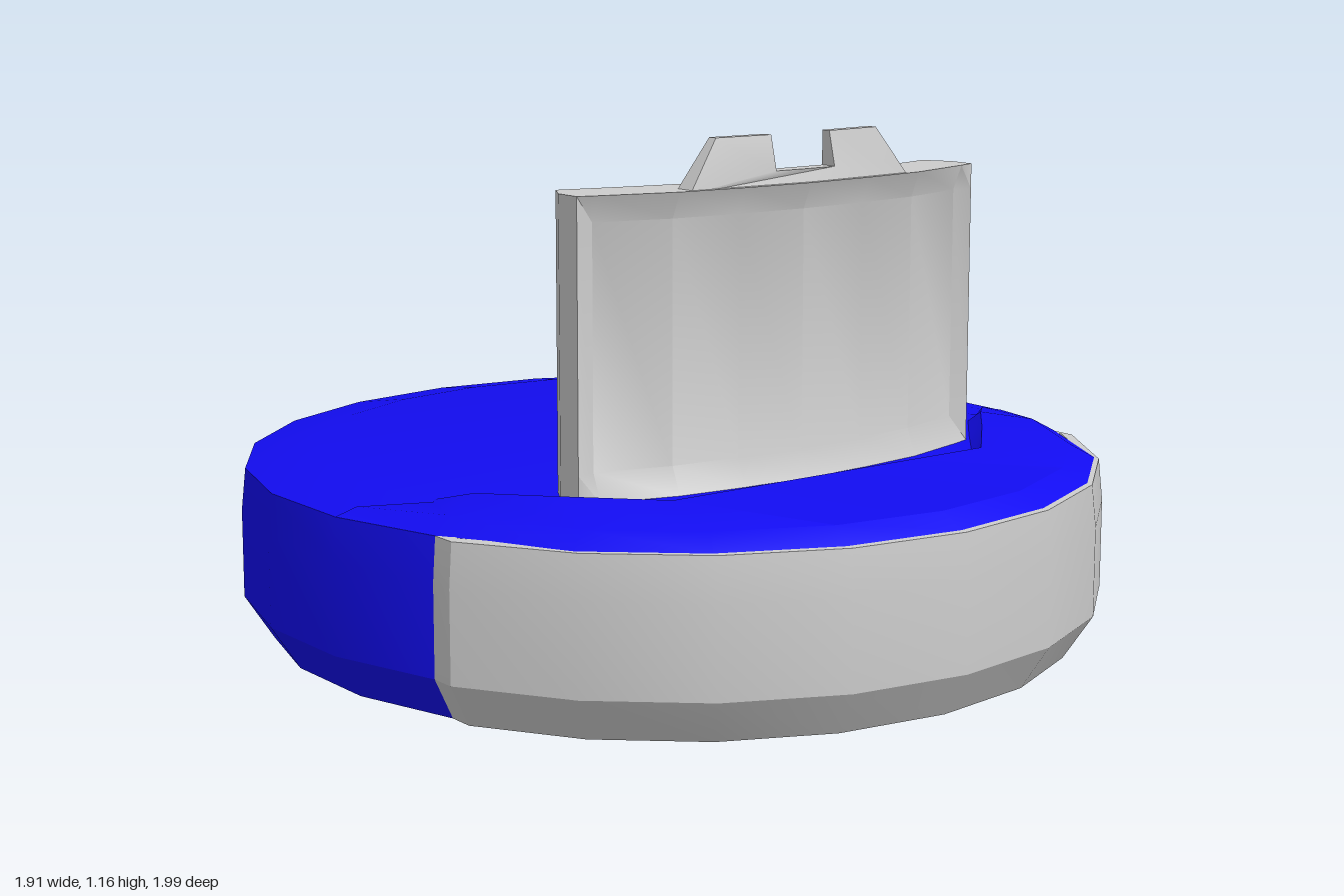
import * as THREE from 'three';
import { toCreasedNormals } from 'three/addons/utils/BufferGeometryUtils.js';

const SIDES = 22, CENTRE = -0.035, CREASE = 0.42;
const STEP = (Math.PI * 2) / SIDES;
const blue = new THREE.MeshStandardMaterial({ color: 0x120cf0 });
const grey = new THREE.MeshStandardMaterial({ color: 0xcccccc });
const blueThin = blue.clone(), greyThin = grey.clone();
blueThin.side = greyThin.side = THREE.DoubleSide;

function part(name, geometry, material) {
  const mesh = new THREE.Mesh(toCreasedNormals(geometry, CREASE), material);
  mesh.name = name;
  return mesh;
}

// Point on the round body: side number k counted from the front, radius, height, forward shift
const rim = (k, r, y, shift = 0) =>
  [r * Math.sin(k * STEP), y, r * Math.cos(k * STEP) + CENTRE + shift];

// Skin a list of cross-sections, each a list of points from bottom to top
function loft(sections) {
  const n = sections[0].length, index = [];
  for (let i = 0; i < sections.length - 1; i++) {
    for (let j = 0; j < n - 1; j++) {
      const a = i * n + j, b = a + n;
      index.push(a, b, a + 1, b, b + 1, a + 1);
    }
  }
  const g = new THREE.BufferGeometry();
  g.setAttribute('position', new THREE.Float32BufferAttribute(sections.flat(2), 3));
  g.setIndex(index);
  return g;
}

// Move every vertex by a rule
function warp(geometry, rule) {
  const p = geometry.attributes.position, v = new THREE.Vector3();
  for (let i = 0; i < p.count; i++) {
    rule(v.fromBufferAttribute(p, i));
    p.setXYZ(i, v.x, v.y, v.z);
  }
  return geometry;
}

const WALL = [[0.9, 0], [0.965, 0.1], [0.965, 0.3], [0.955, 0.395]];

// Round body, bulging forward a little behind the front panel
function makeBody() {
  const profile = [[0, 0], ...WALL, [0.8, 0.42], [0, 0.42]];
  const g = new THREE.LatheGeometry(profile.map(([r, y]) => new THREE.Vector2(r, y)), SIDES);
  warp(g, v => {
    const angle = Math.abs(Math.atan2(v.x, v.z));
    const front = angle < 3.5 * STEP && Math.hypot(v.x, v.z) > 0.7;
    v.z += CENTRE + (front ? 0.045 : 0);
  });
  return part('body', g, blue);
}

// Curved panel round the front, with short returns at both ends
function makeFrontPanel() {
  const section = (k, shift) => [
    ...WALL.map(([r, y]) => rim(k, r, y, shift)), rim(k, 0.93, 0.397, shift)];
  const sections = [section(-4, -0.01)];
  for (let k = -4; k <= 4; k++) sections.push(section(k, 0.06));
  sections.push(section(4, -0.01));
  return part('frontPanel', loft(sections), greyThin);
}

// Raised crescent with an angular inner edge
function makeCrescent() {
  const inner = [[0, 0.57], [0.22, 0.57], [0.43, 0.57], [0.6, 0.395], [0.715, 0.27], [0.77, 0.2]];
  const sections = [];
  for (let k = -5; k <= 5; k++) {
    const m = Math.abs(k), s = Math.sign(k), end = m === 5;
    const shift = m < 4 ? 0.045 : 0;
    const [x, z] = inner[m];
    sections.push([
      rim(k, 0.955, 0.396, shift),
      rim(k, 0.9, end ? 0.408 : 0.426, shift),
      [s * x, end ? 0.421 : 0.445, z],
      [s * (x - (m > 2 ? 0.015 : 0)), 0.418, z - 0.03],
    ]);
  }
  return part('frontCrescent', loft(sections), blueThin);
}

// Bent upright plate with a shallow recess in its front
function makePlate() {
  const half = [[0.17, 0.48], [0.33, 0.462], [0.5, 0.415], [0.545, 0.4],
    [0.545, 0.335], [0.51, 0.275], [0.33, 0.32], [0.17, 0.352]];
  const outline = [[0, 0.487], ...half, [0, 0.36],
    ...half.map(([x, z]) => [-x, z]).reverse()];
  // Shape y is -z, so that turning the extrusion upright puts the front at +z
  const shape = new THREE.Shape(outline.map(([x, z]) => new THREE.Vector2(x, -z)));
  const g = new THREE.ExtrudeGeometry(shape, { depth: 3, steps: 3, bevelEnabled: false });
  g.rotateX(-Math.PI / 2);
  const heights = [0.42, 0.48, 1.0, 1.057];
  warp(g, v => {
    const row = Math.round(v.y);
    const front = v.z > 0.37 && Math.abs(v.x) < 0.52;
    v.y = heights[row];
    if (front && (row === 1 || row === 2)) v.z -= 0.025;
  });
  return part('uprightPlate', g, grey);
}

// Notched tab along the top of the plate, following its bend and thinner at the top
function makeTab() {
  const half = [[0.08, 1.085], [0.08, 1.16], [0.22, 1.16], [0.3, 1.05]];
  const outline = [[0, 1.085], ...half, [0, 1.05],
    ...half.map(([x, y]) => [-x, y]).reverse()];
  const shape = new THREE.Shape(outline.map(([x, y]) => new THREE.Vector2(x, y)));
  const g = new THREE.ExtrudeGeometry(shape, { depth: 0.05, bevelEnabled: false });
  warp(g, v => {
    if (v.z > 0.025) v.z -= 0.25 * (v.y - 1.05);
    v.z += 0.408 + 0.02 * (1 - (v.x / 0.3) ** 2);
  });
  return part('topTab', g, grey);
}

export function createModel() {
  const model = new THREE.Group();
  model.name = 'roundBaseWithPlate';
  model.add(makeBody(), makeFrontPanel(), makeCrescent(), makePlate(), makeTab());
  return model;
}
